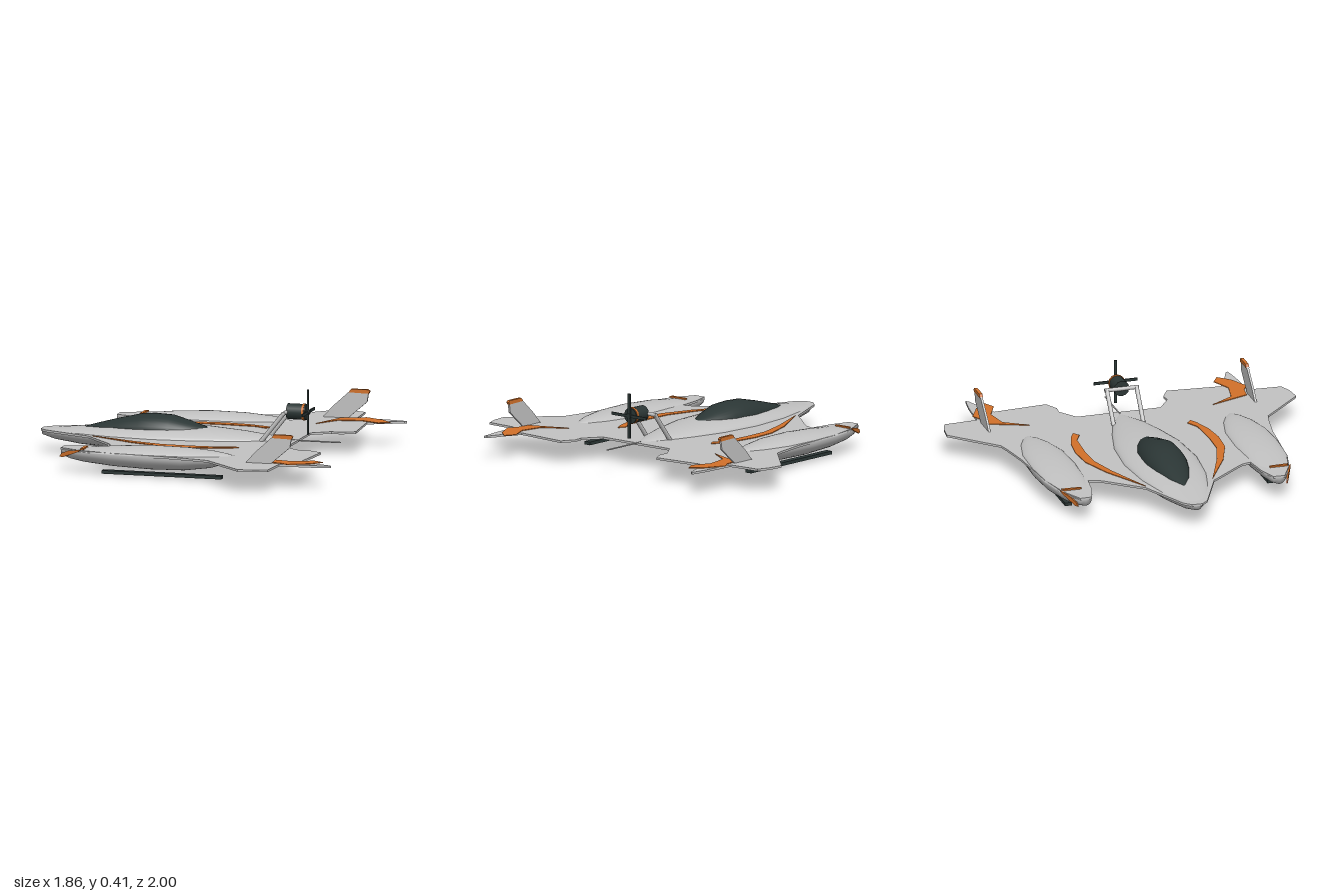
import * as THREE from 'three';

const mat = (name, color, side = THREE.FrontSide) => {
  const m = new THREE.MeshStandardMaterial({ color, side });
  m.name = name;
  return m;
};

export function createModel() {
  const root = new THREE.Group();
  root.name = 'wingInGroundCraft';
  const grey = mat('hullGrey', 0xc2c2c2);
  const orange = mat('trimOrange', 0xd2712a);
  const dark = mat('darkGlass', 0x2b3635);

  const add = (name, geo, material, x = 0, y = 0, z = 0) => {
    const m = new THREE.Mesh(geo, material);
    m.name = name;
    m.position.set(x, y, z);
    root.add(m);
    return m;
  };

  // Closed body from stations [x, half width, top, bottom, z shift]; c is the waterline
  function loft(stations, c, n = 32) {
    const first = stations[0], last = stations[stations.length - 1];
    const rows = [[first[0], 0, c, c, first[4]], ...stations, [last[0], 0, c, c, last[4]]];
    const pos = [], idx = [];
    rows.forEach(([x, w, top, bottom, dz = 0], i) => {
      for (let j = 0; j < n; j++) {
        const a = j / n * Math.PI * 2, s = Math.sin(a);
        pos.push(x, c + s * (s > 0 ? top - c : c - bottom), dz + w * Math.cos(a));
        if (i < rows.length - 1) {
          const p = i * n + j, q = i * n + (j + 1) % n;
          idx.push(p, p + n, q, q, p + n, q + n);
        }
      }
    });
    const g = new THREE.BufferGeometry();
    g.setAttribute('position', new THREE.Float32BufferAttribute(pos, 3));
    g.setIndex(idx);
    g.computeVertexNormals();
    return g;
  }

  const shape = pts => new THREE.Shape(pts.map(p => new THREE.Vector2(p[0], p[1])));
  const extrude = (pts, depth) => new THREE.ExtrudeGeometry(shape(pts), { depth, bevelEnabled: false });
  // Horizontal plate from [x, z] points, hanging below its origin
  const plate = (pts, depth) => extrude(pts, depth).rotateX(Math.PI / 2);

  function rod(name, a, b, r, material = grey) {
    const A = new THREE.Vector3(...a), B = new THREE.Vector3(...b);
    const d = B.clone().sub(A);
    const m = add(name, new THREE.CylinderGeometry(r, r, d.length(), 12), material);
    m.position.copy(A).addScaledVector(d, 0.5);
    m.quaternion.setFromUnitVectors(new THREE.Vector3(0, 1, 0), d.normalize());
  }

  // Wing deck: half outline, mirrored
  const half = [
    [-0.93, 0.03], [-0.89, 0.07], [-0.61, 0.195], [-0.52, 0.3], [-0.455, 0.375], [-0.425, 0.415],
    [-0.41, 0.465], [-0.55, 0.485], [-0.655, 0.52], [-0.657, 0.585], [-0.535, 0.645], [-0.34, 0.69],
    [0, 0.72], [0.17, 0.75], [0.23, 0.765], [0.47, 1], [0.56, 0.99], [0.63, 0.965], [0.64, 0.775],
    [0.83, 0.765], [0.93, 0.75], [0.92, 0.735], [0.83, 0.7], [0.73, 0.65], [0.755, 0.345], [0.68, 0.305],
    [0.625, 0.31], [0.525, 0.24]];
  add('wingDeck', plate([...half, ...half.map(([x, z]) => [x, -z]).reverse()], 0.012), grey, 0, 0.132);

  // Central hull and canopy
  add('mainHull', loft([
    [-0.925, 0.03, 0.128, 0.095], [-0.85, 0.08, 0.135, 0.075], [-0.7, 0.135, 0.15, 0.057],
    [-0.5, 0.185, 0.17, 0.045], [-0.25, 0.21, 0.18, 0.037], [0, 0.19, 0.178, 0.04],
    [0.2, 0.14, 0.165, 0.055], [0.35, 0.09, 0.15, 0.08], [0.48, 0.02, 0.133, 0.12]], 0.126), grey);
  add('canopy', loft([
    [-0.69, 0.002, 0.152, 0.148], [-0.6, 0.055, 0.178, 0.14], [-0.48, 0.095, 0.21, 0.14],
    [-0.36, 0.117, 0.238, 0.14], [-0.28, 0.12, 0.242, 0.14], [-0.19, 0.117, 0.238, 0.14],
    [-0.09, 0.09, 0.21, 0.14], [-0.01, 0.055, 0.185, 0.14], [0.05, 0.004, 0.165, 0.148]], 0.15), dark);
  rod('tailRod', [0.45, 0.13, 0], [0.77, 0.13, 0], 0.004);

  for (const s of [1, -1]) {
    const side = s > 0 ? 'Front' : 'Back';
    const flip = pts => pts.map(([x, z]) => [x, z * s]);

    // Float pod, skid and nose trim
    add('floatPod' + side, loft([
      [-0.655, 0.035, 0.128, 0.085, -0.025 * s], [-0.6, 0.06, 0.13, 0.07, -0.02 * s],
      [-0.52, 0.085, 0.134, 0.058, -0.01 * s], [-0.35, 0.115, 0.152, 0.045], [-0.15, 0.127, 0.164, 0.037],
      [0.05, 0.12, 0.162, 0.04], [0.2, 0.085, 0.152, 0.06], [0.28, 0.05, 0.142, 0.085],
      [0.34, 0.005, 0.13, 0.12]], 0.122), grey, 0, 0, 0.58 * s);
    add('skid' + side, new THREE.BoxGeometry(0.68, 0.018, 0.04), dark, -0.08, 0.009, 0.58 * s);
    add('podNoseBand' + side, plate(flip([[-0.53, 0.54], [-0.515, 0.54], [-0.51, 0.648], [-0.53, 0.64]]), 0.008),
      orange, 0, 0.142);
    const flash = add('podNoseFlash' + side, extrude(
      [[0, 0.085], [0.02, 0.083], [0.07, 0.1], [0.13, 0.122], [0.15, 0.136], [0.06, 0.122], [0.015, 0.105]], 0.008),
      orange, -0.657, 0, s > 0 ? 0.592 : -0.6);
    flash.rotation.y = -0.42 * s;

    // Painted sweep beside the hull
    add('deckStripe' + side, plate(flip([
      [-0.59, 0.192], [-0.33, 0.335], [-0.15, 0.4], [0, 0.41], [0.13, 0.395], [0.24, 0.36], [0.285, 0.335],
      [0.25, 0.31], [0.18, 0.345], [0, 0.355], [-0.15, 0.35], [-0.32, 0.3]]), 0.004), orange, 0, 0.136);
    add('tailMarking' + side, plate(flip([
      [0.475, 0.525], [0.56, 0.745], [0.64, 0.755], [0.69, 0.785], [0.8, 0.73], [0.86, 0.665], [0.8, 0.63],
      [0.69, 0.68], [0.56, 0.655]]), 0.004), orange, 0, 0.136);

    // Swept fin with trimmed tip
    add('fin' + side, extrude([
      [0.42, 0.1], [0.53, 0.095], [0.59, 0.13], [0.7, 0.225], [0.71, 0.29], [0.61, 0.29], [0.5, 0.19]], 0.012),
      grey, 0, 0, 0.762 * s - 0.006);
    add('finTipTrim' + side, extrude(
      [[0.595, 0.275], [0.71, 0.272], [0.716, 0.285], [0.705, 0.294], [0.61, 0.294]], 0.018),
      orange, 0, 0, 0.762 * s - 0.009);

    // Engine strut
    rod('engineStrut' + side, [0.34, 0.13, 0.085 * s], [0.468, 0.292, 0.085 * s], 0.012);
  }

  // Pusher engine and four-bladed propeller
  rod('engineCrossbar', [0.468, 0.29, -0.097], [0.468, 0.29, 0.097], 0.011);
  rod('engine', [0.468, 0.29, 0], [0.575, 0.29, 0], 0.044, dark);
  rod('engineRing', [0.555, 0.29, 0], [0.567, 0.29, 0], 0.047, orange);
  rod('propellerHub', [0.57, 0.29, 0], [0.592, 0.29, 0], 0.014, dark);
  for (let i = 0; i < 2; i++) {
    const blade = add('propellerBlades', new THREE.BoxGeometry(0.007, 0.25, 0.016), dark, 0.583, 0.29);
    blade.rotation.x = i * Math.PI / 2;
  }
  return root;
}
